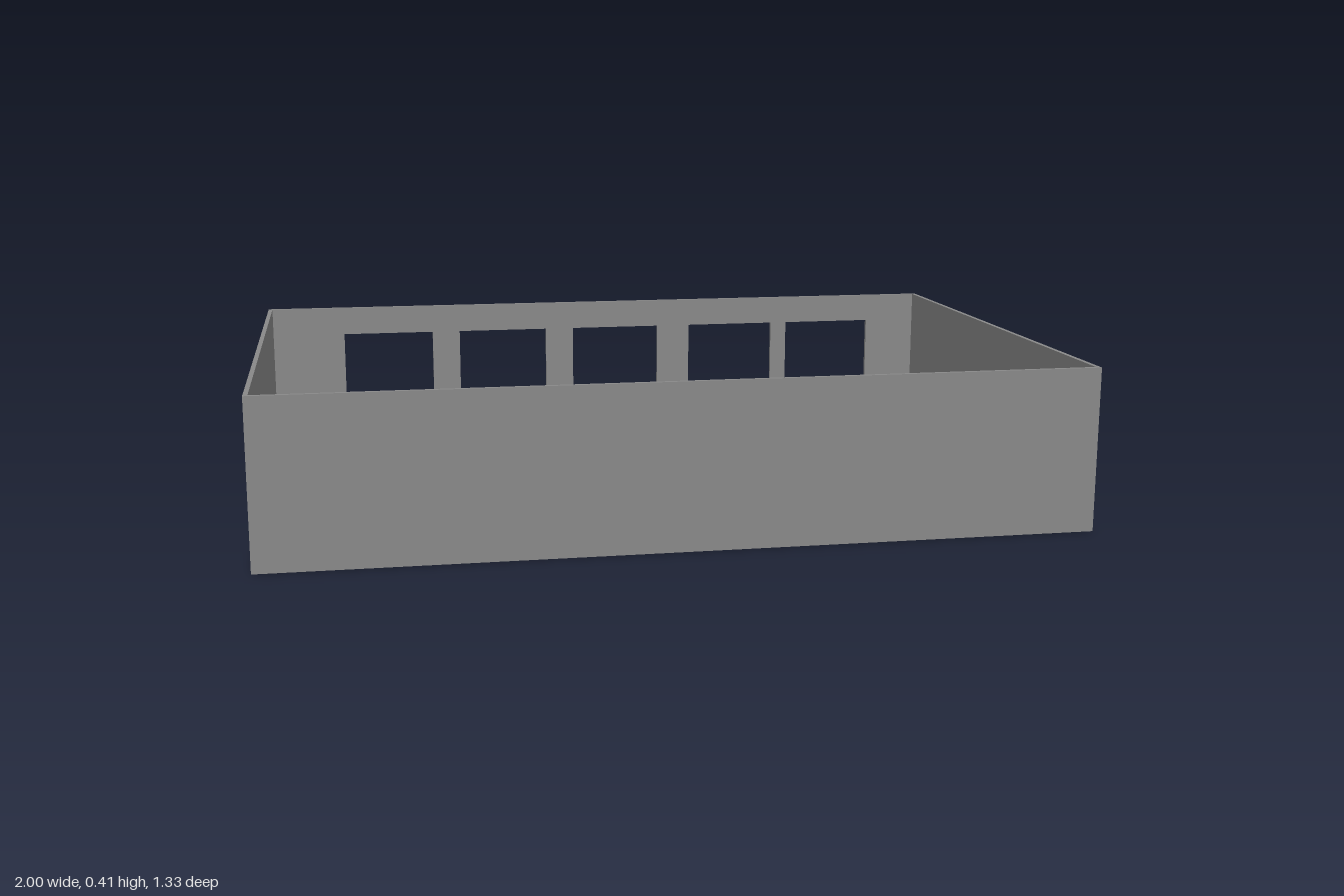
import * as THREE from 'three';

const W = 1, D = 0.667, H = 0.405, T = 0.011; // half width, half depth, height, wall thickness

const material = new THREE.MeshStandardMaterial({ color: 0x888888, flatShading: true });

const toShape = (points) => new THREE.Shape(points.map(([x, y]) => new THREE.Vector2(x, y)));

const rect = (x0, x1, y0, y1) => [[x0, y0], [x1, y0], [x1, y1], [x0, y1]];

const extrudeWall = (shape) => new THREE.ExtrudeGeometry(shape, { depth: T, bevelEnabled: false });

export function createModel() {
  const group = new THREE.Group();
  const add = (name, geometry) => {
    const mesh = new THREE.Mesh(geometry, material);
    mesh.name = name;
    group.add(mesh);
  };

  // Plain front wall
  add('frontWall', extrudeWall(toShape(rect(-W, W, 0, H))).translate(0, 0, D - T));

  // Back wall with a row of square windows
  const back = toShape(rect(-W, W, 0, H));
  for (const x of [0.708, 0.398, 0.037, -0.308, -0.651]) {
    back.holes.push(toShape(rect(x - 0.131, x + 0.131, 0.063, 0.326)));
  }
  add('backWall', extrudeWall(back).translate(0, 0, -D));

  // Side walls fit between front and back; drawn in (z, y), then turned
  const z = D - T;
  add('rightSideWall', extrudeWall(toShape(rect(-z, z, 0, H))).rotateY(-Math.PI / 2).translate(-W + T, 0, 0));

  // Side wall with a doorway cut up from the floor
  const doorway = toShape([
    [-z, 0], [-0.293, 0], [-0.293, 0.142], [-0.233, 0.142], [-0.233, 0],
    [z, 0], [z, H], [-z, H],
  ]);
  add('leftSideWallWithDoorway', extrudeWall(doorway).rotateY(-Math.PI / 2).translate(W, 0, 0));

  return group;
}
